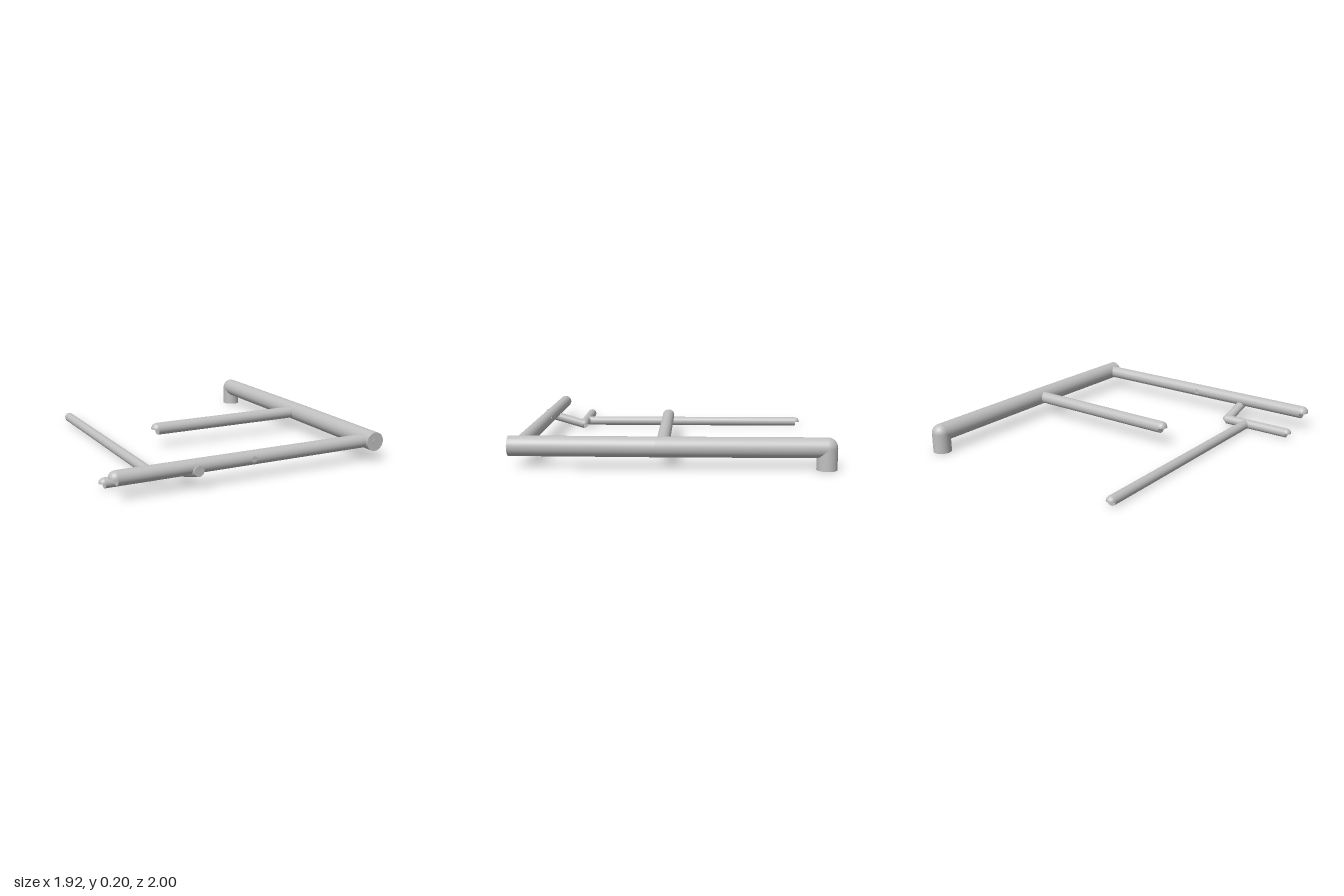
import * as THREE from 'three';

export function createModel() {
  const model = new THREE.Group();
  model.name = 'pipework';
  const pipeGrey = new THREE.MeshStandardMaterial({ color: 0xc0c0c0, side: THREE.DoubleSide });
  pipeGrey.name = 'pipe grey';

  const add = (name, geometry, position) => {
    const mesh = new THREE.Mesh(geometry, pipeGrey);
    mesh.name = name;
    mesh.position.copy(position);
    model.add(mesh);
    return mesh;
  };
  // Straight round pipe between two points
  const pipe = (name, a, b, r) => {
    const from = new THREE.Vector3(...a), to = new THREE.Vector3(...b);
    const dir = to.clone().sub(from);
    const mesh = add(name, new THREE.CylinderGeometry(r, r, dir.length(), 40),
      from.clone().add(to).multiplyScalar(0.5));
    mesh.quaternion.setFromUnitVectors(new THREE.Vector3(0, 1, 0), dir.normalize());
  };
  // Round corner where two pipes meet
  const elbow = (name, p, r) => add(name, new THREE.SphereGeometry(r, 40, 24), new THREE.Vector3(...p));
  // Quarter-sphere hood over a pipe end (points to -x before turning)
  const hood = (name, p, r, turn = 0) => {
    const shell = new THREE.SphereGeometry(r, 24, 14, -Math.PI / 2, Math.PI, 0, Math.PI / 2);
    add(name, shell, new THREE.Vector3(...p)).rotation.y = turn;
  };

  // Main pipe with its slight bend and the downpipe at the back
  const R = 0.063, Y = 0.135;
  pipe('mainPipeBack', [0.893, Y, -0.937], [0.893, Y, 0.1], R);
  pipe('mainPipeFront', [0.893, Y, 0.1], [0.879, Y, 0.997], R);
  elbow('mainBend', [0.893, Y, 0.1], R);
  elbow('mainElbow', [0.893, Y, -0.937], R);
  pipe('downPipe', [0.893, 0, -0.937], [0.893, Y, -0.937], R);
  pipe('mainEndPin', [0.879, Y, 0.95], [0.879, Y, 1], 0.02);

  // Two side branches
  const branches = [['frontBranch', -0.915, 0.937, 0.045], ['middleBranch', -0.26, 0.06, 0.042]];
  for (const [name, x, z, r] of branches) {
    pipe(name, [x, Y, z], [0.88, Y, z], r);
    hood(name + 'Hood', [x, Y, z], r);
  }
  pipe('branchPin', [-0.03, Y, 0.892], [-0.03, Y, 0.982], 0.02);

  // Thin pipes: low cross pipe and long run to the back
  const r = 0.033, y = 0.037;
  pipe('lowCrossPipe', [-0.905, y, 0.717], [-0.416, y, 0.717], r);
  hood('lowCrossHood', [-0.905, y, 0.717], r);
  hood('linkElbow', [-0.416, y, 0.717], r, Math.PI);
  pipe('longThinPipe', [-0.575, 0.034, -0.917], [-0.575, 0.034, 0.717], r);
  hood('longThinHood', [-0.575, 0.034, -0.917], r, -Math.PI / 2);

  // Sloping link with upright end faces
  const link = new THREE.CylinderGeometry(r, r, 0.283, 40).rotateX(Math.PI / 2);
  link.applyMatrix4(new THREE.Matrix4().makeShear(0, 0, 0, 0, 0, 0.29));
  add('slopingLink', link, new THREE.Vector3(-0.416, 0.078, 0.8585));

  return model;
}
